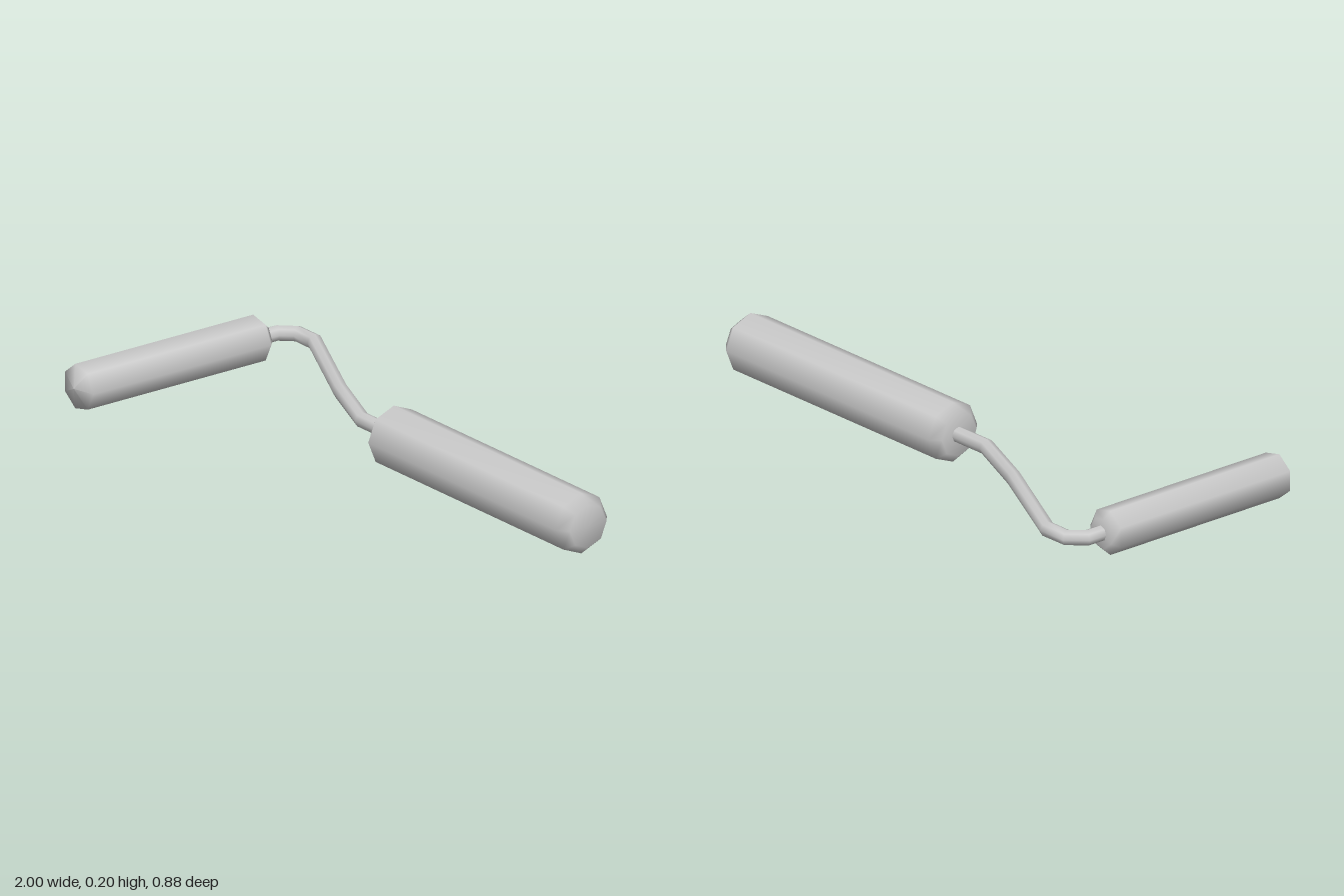
import * as THREE from 'three';

const material = new THREE.MeshStandardMaterial({ color: 0xcccccc });
const AXIS_Y = 0.101;

// Curve that lands exactly on each bend of a polyline, with mitred tangents
class BentWire extends THREE.Curve {
  constructor(points) {
    super();
    this.points = points;
  }
  getPoint(t, target = new THREE.Vector3()) {
    const last = this.points.length - 1;
    const i = Math.min(Math.floor(t * last + 1e-6), last - 1);
    return target.lerpVectors(this.points[i], this.points[i + 1], t * last - i);
  }
  getPointAt(u, target) {
    return this.getPoint(u, target);
  }
  getTangentAt(u, target = new THREE.Vector3()) {
    const p = this.points;
    const i = Math.round(u * (p.length - 1));
    const dir = (a, b) => new THREE.Vector3().subVectors(b, a).normalize();
    target.set(0, 0, 0);
    if (i > 0) target.add(dir(p[i - 1], p[i]));
    if (i < p.length - 1) target.add(dir(p[i], p[i + 1]));
    return target.normalize();
  }
}

// Low-sided turned body from [radius, distance along axis] pairs
function turned(name, profile, sides, phiStart = 0) {
  const points = profile.map(([r, d]) => new THREE.Vector2(r, d));
  const mesh = new THREE.Mesh(new THREE.LatheGeometry(points, sides, phiStart), material);
  mesh.name = name;
  return mesh;
}

export function createModel() {
  const group = new THREE.Group();
  group.name = 'paintRoller';

  // Roller sleeve lying along x
  const roller = turned('rollerSleeve', [
    [0, -0.03], [0.072, -0.03], [0.101, 0], [0.101, 0.965], [0.072, 1], [0, 1],
  ], 8);
  roller.rotation.z = -Math.PI / 2;
  roller.position.set(0, AXIS_Y, -0.112);
  group.add(roller);

  // Seven-sided handle lying along z, with a shallow pointed front end
  const handle = turned('handle', [
    [0, -0.308], [0.052, -0.308], [0.0765, -0.285], [0.0765, 0.419], [0, 0.438],
  ], 7, Math.PI / 2);
  handle.rotation.x = Math.PI / 2;
  handle.position.set(-0.931, AXIS_Y + 0.002, 0);
  group.add(handle);

  // Bent wire frame joining handle and roller
  const path = [
    [0, -0.115], [-0.165, -0.115], [-0.41, -0.217], [-0.795, -0.412],
    [-0.885, -0.412], [-0.929, -0.365], [-0.929, -0.29],
  ].map(([x, z]) => new THREE.Vector3(x, AXIS_Y + 0.002, z));
  const wire = new THREE.Mesh(
    new THREE.TubeGeometry(new BentWire(path), path.length - 1, 0.026, 8), material);
  wire.name = 'wireFrame';
  group.add(wire);

  return group;
}
